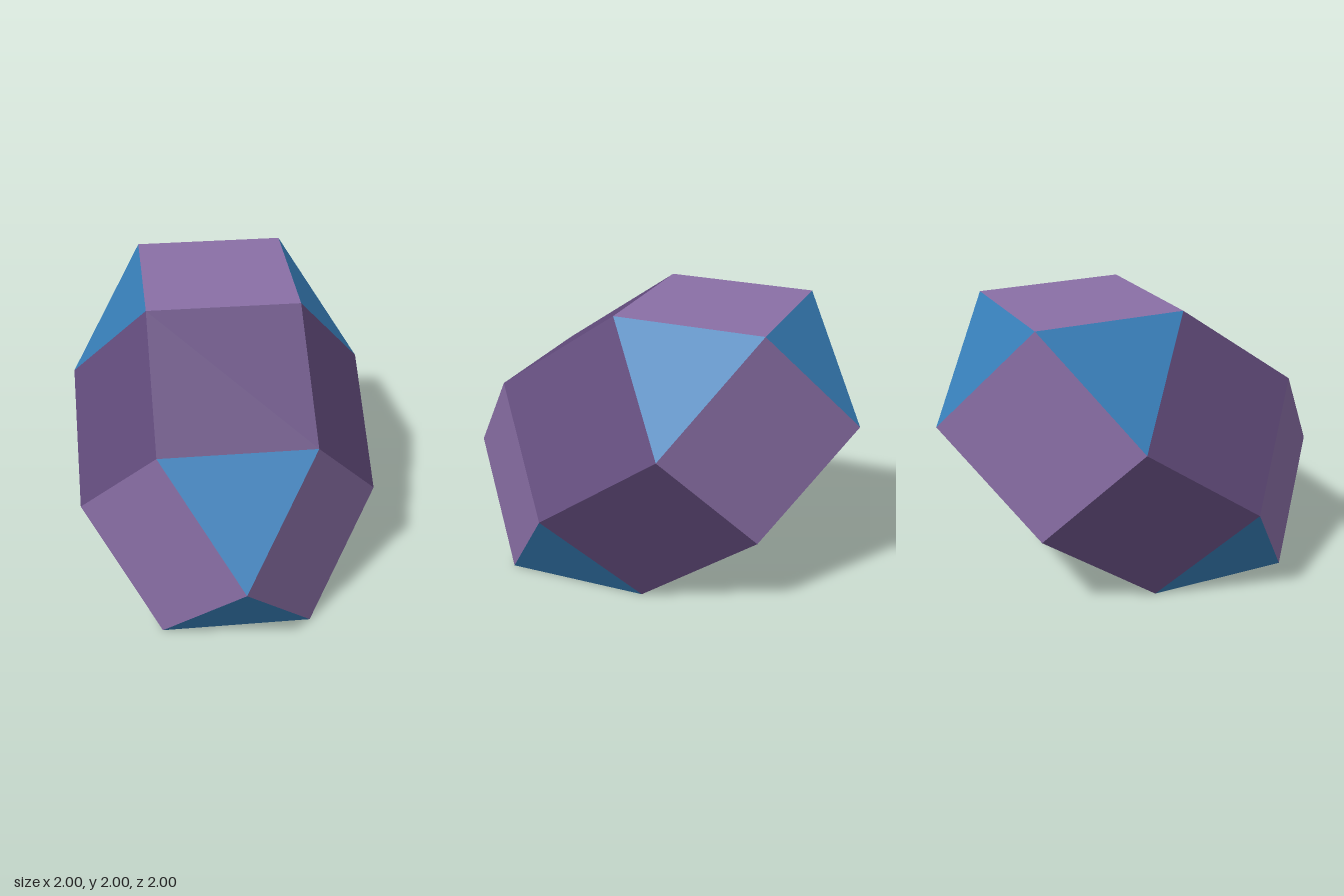
import * as THREE from 'three';

// Cuboctahedron cut at its hexagonal waist, the halves joined by a hexagonal prism.
export function createModel() {
  const group = new THREE.Group();
  const paint = (name, color) => {
    const m = new THREE.MeshStandardMaterial({ color });
    m.name = name;
    return m;
  };
  const blue = paint('blue', 0x377eb8);
  const lilac = paint('lilac', 0x8a6fa6);
  const plum = paint('plum', 0x624b7c);

  const V = (x, y, z) => new THREE.Vector3(x, y, z);
  const axis = V(1, 1, -1);                        // direction of elongation
  const a = 2 / (2 + Math.sqrt(2 / 3));            // half width of each half's cube
  const half = a * Math.sqrt(2 / 3) / 2;           // half the prism shift, per axis
  const place = (v, side) => v.clone().multiplyScalar(a)
    .addScaledVector(axis, side * half).add(V(0, 1, 0));

  // Appends a convex face, its corners sorted counter-clockwise about the normal
  function addFace(out, points, normal) {
    const n = normal.clone().normalize();
    const c = points.reduce((s, p) => s.add(p), V(0, 0, 0)).divideScalar(points.length);
    const u = points[0].clone().sub(c).normalize();
    const w = n.clone().cross(u);
    const angle = p => Math.atan2(p.clone().sub(c).dot(w), p.clone().sub(c).dot(u));
    const ring = [...points].sort((p, q) => angle(p) - angle(q));
    for (let i = 1; i < ring.length - 1; i++)
      for (const p of [ring[0], ring[i], ring[i + 1]]) out.push(p.x, p.y, p.z);
  }
  function addMesh(name, positions, material) {
    const g = new THREE.BufferGeometry();
    g.setAttribute('position', new THREE.Float32BufferAttribute(positions, 3));
    g.computeVertexNormals();
    const mesh = new THREE.Mesh(g, material);
    mesh.name = name;
    group.add(mesh);
  }

  // Cuboctahedron corners and face normals, from the 3 x 3 x 3 lattice
  const lattice = [];
  for (const x of [-1, 0, 1]) for (const y of [-1, 0, 1]) for (const z of [-1, 0, 1])
    lattice.push(V(x, y, z));
  const ofLength = k => lattice.filter(v => v.lengthSq() === k);
  const corners = ofLength(2);

  // Caps: each face moves with the half it belongs to
  const capFaces = normals => {
    const out = [];
    for (const n of normals) {
      const reach = Math.max(...corners.map(v => v.dot(n)));
      const side = Math.sign(n.dot(axis));
      addFace(out, corners.filter(v => v.dot(n) === reach).map(v => place(v, side)), n);
    }
    return out;
  };
  addMesh('capTriangles', capFaces(ofLength(3)), blue);
  addMesh('capSquares', capFaces(ofLength(1)), lilac);

  // Waist: six squares between neighbouring corners of the hexagon
  const waist = corners.filter(v => v.dot(axis) === 0);
  const band = [];
  waist.forEach((p, i) => waist.slice(i + 1).forEach(q => {
    if (p.distanceToSquared(q) !== 2) return;
    addFace(band, [place(p, 1), place(q, 1), place(p, -1), place(q, -1)], p.clone().add(q));
  }));
  addMesh('waistSquares', band, plum);
  return group;
}
